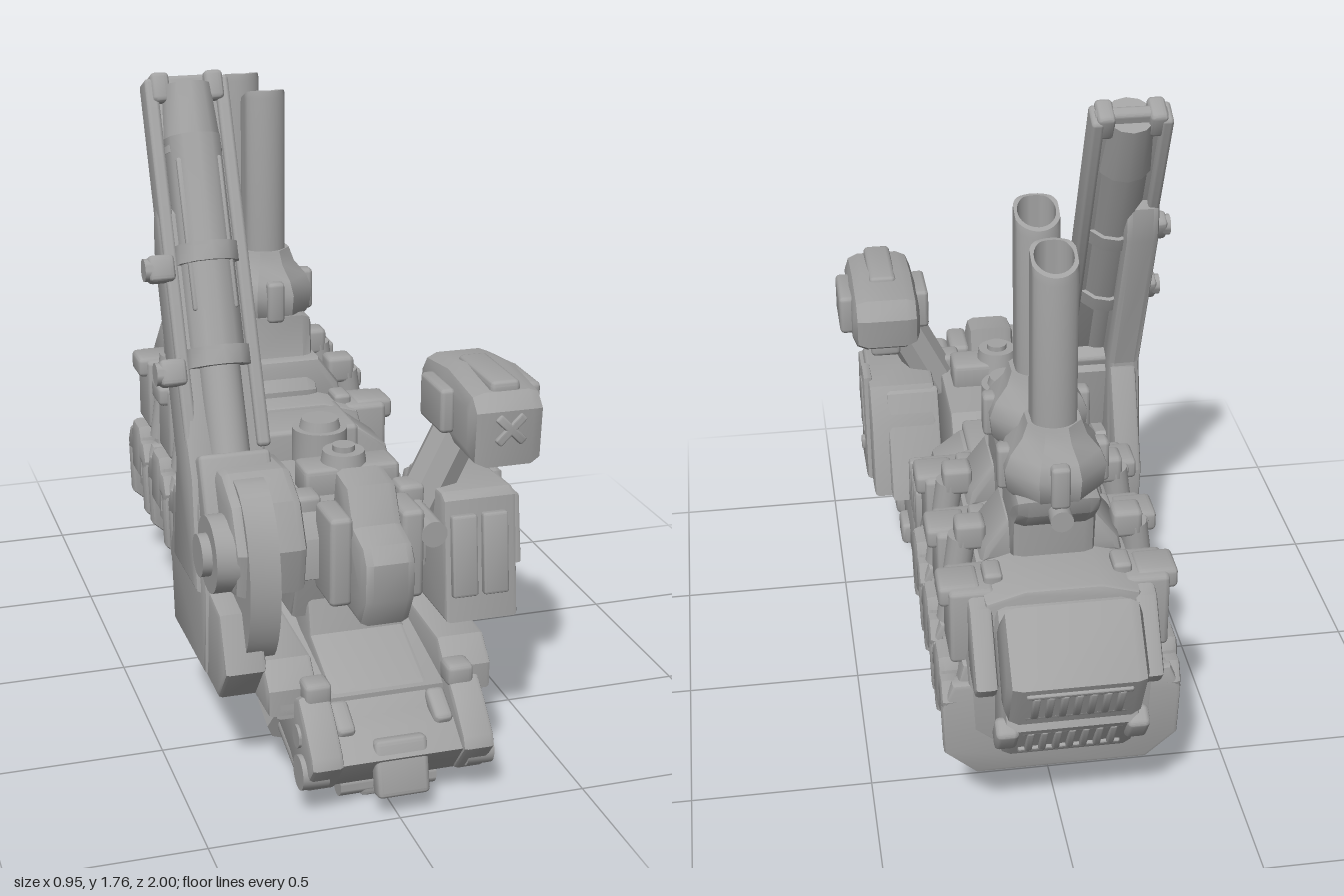
import * as THREE from 'three';
import { RoundedBoxGeometry } from 'three/addons/geometries/RoundedBoxGeometry.js';
import { toCreasedNormals } from 'three/addons/utils/BufferGeometryUtils.js';

const grey = new THREE.MeshStandardMaterial({ color: 0xa2a2a2, side: THREE.DoubleSide });

export function createModel() {
  const root = new THREE.Group();

  const put = (name, geo, parent = root) => {
    const m = new THREE.Mesh(toCreasedNormals(geo, 0.6), grey);
    m.name = name;
    parent.add(m);
    return m;
  };
  // Rounded box given by its centre and size.
  const box = (name, x, y, z, w, h, d, parent = root, rx = 0) => {
    const r = Math.min(0.014, w * 0.3, h * 0.3, d * 0.3);
    const m = put(name, new RoundedBoxGeometry(w, h, d, 2, r), parent);
    m.position.set(x, y, z);
    m.rotation.x = rx;
    return m;
  };
  const extrude = (pts, depth, b) => {
    const s = new THREE.Shape(pts.map(p => new THREE.Vector2(p[0], p[1])));
    const g = new THREE.ExtrudeGeometry(s, { depth: depth - 2 * b, bevelEnabled: true, bevelSize: b,
      bevelThickness: b, bevelOffset: -b, bevelSegments: 2 });
    return g.translate(0, 0, b - depth / 2);
  };
  // Side profile [z, y] extruded to a width along x.
  const side = (name, pts, x, w, b = 0.012) =>
    put(name, extrude(pts, w, b).rotateY(-Math.PI / 2).translate(x, 0, 0));
  // Half front profile [x, y], mirrored, extruded along z.
  const section = (name, half, z, d, b = 0.012) =>
    put(name, extrude([...half, ...half.map(p => [-p[0], p[1]]).reverse()], d, b).translate(0, 0, z));
  const lathe = (pts, n) => new THREE.LatheGeometry(pts.map(p => new THREE.Vector2(...p)), n);
  const cyl = (name, x, y, z, r1, r2, h, axis = 'y', parent = root, n = 24) => {
    const m = put(name, new THREE.CylinderGeometry(r1, r2, h, n), parent);
    m.position.set(x, y, z);
    if (axis === 'x') m.rotation.z = Math.PI / 2;
    if (axis === 'z') m.rotation.x = Math.PI / 2;
    return m;
  };
  const rod = (name, a, b, r, n = 16) => {
    const p = new THREE.Vector3(...a), q = new THREE.Vector3(...b);
    const m = put(name, new THREE.CylinderGeometry(r, r, p.distanceTo(q), n));
    m.position.copy(p).lerp(q, 0.5);
    m.quaternion.setFromUnitVectors(new THREE.Vector3(0, 1, 0), q.sub(p).normalize());
    return m;
  };

  // Nose and lower hull
  side('nose', [[0.38, 0.04], [0.84, 0.04], [0.92, 0.08], [0.99, 0.17], [0.92, 0.22], [0.74, 0.27], [0.3, 0.3], [0.33, 0.12]], 0.01, 0.36);
  for (const s of [-1, 1]) {
    const x = 0.01 + s * 0.2;
    side('noseRail', [[0.88, 0.07], [0.93, 0.08], [1.0, 0.17], [0.99, 0.2], [0.92, 0.27], [0.87, 0.31], [0.82, 0.29], [0.6, 0.29], [0.6, 0.18], [0.8, 0.12]], x, 0.085);
    cyl('noseBolt', x + s * 0.02, 0.21, 0.88, 0.03, 0.03, 0.06, 'x');
    cyl('noseKnuckle', x + s * 0.02, 0.13, 0.92, 0.045, 0.045, 0.07, 'x');
    box('hornTip', x - s * 0.01, 0.315, 0.85, 0.07, 0.06, 0.07);
    box('noseClip', x - s * 0.07, 0.235, 0.88, 0.05, 0.05, 0.1, root, 0.5);
    rod('sideRam', [s * 0.205, 0.165, 0.63], [s * 0.215, 0.2, 0.24], 0.042);
    rod('sideRamCollar', [s * 0.205, 0.14, 0.69], [s * 0.205, 0.17, 0.6], 0.055, 8);
    rod('sideRamPiston', [s * 0.2, 0.08, 0.86], [s * 0.205, 0.15, 0.66], 0.028);
    cyl('ramPivot', s * 0.22, 0.2, 0.23, 0.05, 0.05, 0.09, 'x');
    for (const z of [0.37, 0.55]) box('hullLatch', s * 0.29, 0.285, z, 0.07, 0.07, 0.1);
    for (let i = 0; i < 4; i++) box('hullRib', s * 0.235, 0.5, 0.115 + i * 0.058, 0.13, 0.15, 0.036);
    side('hullSill', [[0.1, 0.31], [0.22, 0.3], [0.28, 0.24], [0.84, 0.25], [0.84, 0.32], [0.78, 0.38], [0.5, 0.39], [0.35, 0.46], [0.1, 0.42]], s * 0.235, 0.13);
  }
  box('noseRoller', 0.01, 0.04, 0.84, 0.15, 0.07, 0.08);
  cyl('noseRollerPin', 0.01, 0.04, 0.85, 0.033, 0.033, 0.26, 'x');
  box('nosePlate', 0.01, 0.135, 0.965, 0.14, 0.15, 0.05, root, -0.25);
  cyl('undersideDisc', 0.01, 0.042, 0.62, 0.13, 0.13, 0.02, 'y', root, 32);
  side('hull', [[0.1, 0.23], [0.3, 0.23], [0.84, 0.24], [0.84, 0.28], [0.55, 0.34], [0.3, 0.44], [0.08, 0.42], [0.06, 0.3]], 0, 0.56);

  // Centre superstructure
  side('glacis', [[0.9, 0.2], [0.82, 0.29], [0.64, 0.36], [0.6, 0.52], [0.4, 0.58], [0.4, 0.22]], 0, 0.26);
  side('centreHousing', [[0.2, 0.4], [0.6, 0.4], [0.64, 0.52], [0.7, 0.55], [0.7, 0.66], [0.66, 0.72], [0.3, 0.72], [0.2, 0.6]], 0, 0.34);
  side('frontSnout', [[0.68, 0.48], [0.86, 0.48], [0.9, 0.56], [0.9, 0.66], [0.87, 0.7], [0.79, 0.72], [0.74, 0.81], [0.64, 0.82], [0.6, 0.6]], 0, 0.14, 0.025);
  for (const s of [-1, 1]) {
    box('snoutCheek', s * 0.095, 0.63, 0.73, 0.06, 0.24, 0.14);
    box('housingCorner', s * 0.14, 0.72, 0.62, 0.07, 0.08, 0.08);
  }
  box('topHatch', 0.01, 0.745, 0.51, 0.26, 0.09, 0.11);
  cyl('topHatchRing', 0, 0.79, 0.51, 0.055, 0.065, 0.06);
  cyl('topHatchCap', 0, 0.82, 0.51, 0.03, 0.03, 0.03);
  cyl('filterBase', 0, 0.75, 0.3, 0.075, 0.075, 0.12);
  cyl('filterCap', 0, 0.815, 0.3, 0.05, 0.06, 0.04);
  box('rearDeckBox', 0, 0.6, 0.08, 0.3, 0.32, 0.22);
  section('bulkhead', [[0.2, 0.22], [0.28, 0.32], [0.29, 0.46], [0.24, 0.68], [0.16, 0.74]], 0.09, 0.16);
  cyl('headLamp', 0.15, 0.68, 0.72, 0.035, 0.035, 0.16, 'z');

  // Cab
  side('cab', [[0.77, 0.41], [0.73, 0.735], [0.7, 0.75], [0.46, 0.74], [0.4, 0.64], [0.36, 0.41]], 0.3, 0.2);
  side('cabDoor', [[0.64, 0.41], [0.6, 0.75], [0.5, 0.75], [0.47, 0.41]], 0.4, 0.03);
  side('cabWindow', [[0.75, 0.55], [0.72, 0.73], [0.63, 0.73], [0.61, 0.62], [0.66, 0.55]], 0.4, 0.025, 0.006);
  side('doorWindow', [[0.595, 0.56], [0.58, 0.72], [0.53, 0.72], [0.51, 0.56]], 0.412, 0.014, 0.004);
  box('doorHandle', 0.415, 0.51, 0.53, 0.02, 0.04, 0.03);
  for (const x of [0.25, 0.335]) box('windscreen', x, 0.59, 0.755, 0.07, 0.22, 0.025, root, -0.12);
  side('cabRearFairing', [[0.46, 0.42], [0.46, 0.73], [0.44, 0.72], [0.33, 0.48], [0.31, 0.42]], 0.27, 0.16);

  // Side pod on its strut
  rod('podStrut', [0.17, 0.66, 0.6], [0.3, 0.92, 0.6], 0.065, 8);
  side('podBody', [[0.81, 0.85], [0.82, 1.0], [0.78, 1.04], [0.6, 1.06], [0.44, 1.04], [0.4, 0.99], [0.41, 0.9], [0.48, 0.86]], 0.34, 0.2, 0.04);
  box('podCheek', 0.45, 0.96, 0.6, 0.05, 0.12, 0.18);
  box('podInnerCheek', 0.225, 0.96, 0.6, 0.04, 0.12, 0.16);
  box('podRidge', 0.34, 1.04, 0.66, 0.08, 0.05, 0.24);
  box('podKeel', 0.34, 0.85, 0.6, 0.09, 0.06, 0.2);
  for (const a of [-1, 1]) box('podFaceBar', 0.34, 0.95, 0.815, 0.1, 0.024, 0.02).rotation.z = a * Math.PI / 4;

  // Raised boom with barrel, clamps and backing fin
  cyl('boomWheel', -0.3, 0.58, 0.66, 0.25, 0.25, 0.08, 'x', root, 32).scale.set(1, 1, 0.66);
  side('boomShoulder', [[0.45, 0.56], [0.62, 0.52], [0.78, 0.56], [0.8, 0.68], [0.74, 0.79], [0.64, 0.84], [0.5, 0.83], [0.42, 0.76]], -0.275, 0.19, 0.025);
  cyl('shoulderPin', -0.38, 0.65, 0.69, 0.1, 0.1, 0.07, 'x');
  cyl('shoulderCap', -0.42, 0.65, 0.69, 0.055, 0.055, 0.04, 'x');
  side('boomFin', [[0.34, 0.5], [0.39, 0.8], [0.18, 1.3], [0.18, 1.4], [0.21, 1.44], [0.26, 1.42], [0.46, 0.98], [0.56, 0.8], [0.6, 0.5]], -0.375, 0.1, 0.02);
  side('boomFinBase', [[0.28, 0.28], [0.25, 0.5], [0.38, 0.79], [0.56, 0.79], [0.64, 0.5], [0.62, 0.28]], -0.37, 0.08);
  side('boomFoot', [[0.3, 0.27], [0.28, 0.48], [0.4, 0.56], [0.74, 0.5], [0.8, 0.36], [0.72, 0.26]], -0.345, 0.11);
  const boom = new THREE.Group();
  boom.name = 'boom';
  boom.position.set(-0.31, 0.7, 0.56);
  boom.rotation.x = -0.43;
  root.add(boom);
  box('boomBase', 0, 0.05, 0, 0.19, 0.2, 0.16, boom);
  box('backPlate', 0, 0.64, -0.01, 0.2, 1.02, 0.04, boom);
  for (const s of [-1, 1]) {
    box('plateRail', s * 0.095, 0.65, -0.01, 0.035, 0.98, 0.08, boom);
    box('tipLug', s * 0.072, 1.115, -0.005, 0.05, 0.08, 0.085, boom);
    box('barrelStrip', s * 0.05, 0.72, 0.055, 0.02, 0.4, 0.02, boom);
  }
  cyl('boomPiston', 0, 0.27, 0.015, 0.055, 0.055, 0.4, 'y', boom);
  cyl('boomBarrel', 0, 0.7, 0.01, 0.076, 0.076, 0.56, 'y', boom, 12);
  cyl('boomCap', 0, 1.03, 0.0, 0.068, 0.08, 0.18, 'y', boom, 12);
  for (const y of [0.4, 0.67]) {
    cyl('boomClamp', 0, y, 0.01, 0.088, 0.088, 0.05, 'y', boom, 12);
    box('clampLug', -0.125, y - 0.03, 0.02, 0.07, 0.07, 0.06, boom);
    cyl('clampBolt', -0.15, y - 0.03, 0.02, 0.03, 0.03, 0.04, 'x', boom);
  }

  // Engine block with three clamping frames
  section('engineBlock', [[0.13, 0.25], [0.24, 0.34], [0.25, 0.55], [0.2, 0.74], [0.1, 0.77]], -0.35, 0.76);
  for (let i = 0; i < 3; i++) {
    const z = -0.055 - i * 0.277;
    section('frameRing', [[0.13, 0.2], [0.2, 0.2], [0.275, 0.3], [0.28, 0.46], [0.26, 0.54], [0.2, 0.55]], z, 0.2);
    section('keelBand', [[0.12, 0.185], [0.2, 0.185], [0.3, 0.31], [0.3, 0.35], [0.28, 0.42]], z, 0.1);
    for (const e of [-1, 1])
      section('frameLeg', [[0.13, 0.195], [0.23, 0.195], [0.315, 0.27], [0.32, 0.42], [0.29, 0.49]], z + e * 0.092, 0.055);
    for (const s of [-1, 1]) {
      side('frameArch', [[z + 0.11, 0.4], [z + 0.12, 0.44], [z + 0.09, 0.49], [z - 0.09, 0.49], [z - 0.12, 0.44], [z - 0.11, 0.4], [z - 0.05, 0.42], [z + 0.05, 0.42]], s * 0.295, 0.05);
      side('frameKnuckle', [[z + 0.06, 0.36], [z + 0.06, 0.5], [z + 0.04, 0.53], [z - 0.04, 0.53], [z - 0.06, 0.5], [z - 0.06, 0.36]], s * 0.285, 0.075, 0.018);
      box('headCover', s * 0.23, 0.64, z, 0.12, 0.22, 0.15);
      box('headCap', s * 0.26, 0.725, z, 0.11, 0.06, 0.11);
      box('headLatch', s * 0.17, 0.755, z, 0.05, 0.04, 0.08);
      if (i < 2) {
        rod('linkPipe', [s * 0.23, 0.79, z - 0.138], [s * 0.265, 0.53, z - 0.138], 0.038);
        box('linkCap', s * 0.21, 0.8, z - 0.138, 0.08, 0.08, 0.075);
      }
    }
  }

  // Exhaust stacks
  for (const z of [-0.26, -0.535]) {
    side('stackNeck', [[z + 0.2, 0.74], [z + 0.2, 0.785], [z + 0.14, 0.86], [z + 0.13, 0.99], [z - 0.12, 0.99], [z - 0.11, 0.94],
      [z - 0.04, 0.87], [z - 0.03, 0.74]], 0, 0.23, 0.035);
    section('neckFlare', [[0.19, 0.74], [0.18, 0.79], [0.12, 0.87]], z + 0.085, 0.18, 0.02);
    const collar = put('stackCollar', lathe([[0.1, 0.95], [0.135, 0.99], [0.142, 1.05], [0.125, 1.09], [0.09, 1.13], [0.075, 1.17], [0.06, 1.17]], 8));
    collar.position.z = z;
    collar.rotation.y = Math.PI / 8;
    for (let k = 0; k < 4; k++) {
      const a = k * Math.PI / 2;
      box('collarClamp', Math.sin(a) * 0.125, 1.035, z + Math.cos(a) * 0.125, 0.05, 0.12, 0.04).rotation.y = a;
    }
    // Pipe with slanted open mouth, pressed to a rounded square
    const pipe = lathe([[0.066, 1.1], [0.066, 1.6], [0.062, 1.62], [0.05, 1.62], [0.05, 1.3], [0, 1.3]], 32);
    const p = pipe.attributes.position;
    for (let v = 0; v < p.count; v++) {
      const y = p.getY(v), pz = p.getZ(v);
      if (y > 1.5) p.setY(v, y - 0.005 + Math.min(pz, 0.04) * 0.5);
      p.setX(v, THREE.MathUtils.clamp(p.getX(v), -0.058, 0.058));
    }
    put('stackPipe', pipe).position.z = z;
    rod('stackDrain', [0, 0.95, z - 0.1], [0, 0.95, z - 0.16], 0.03);
  }

  // Rear intake hood with grilles
  side('rearBody', [[-0.68, 0.22], [-0.74, 0.3], [-0.8, 0.31], [-0.9, 0.46], [-0.84, 0.6], [-0.74, 0.73], [-0.68, 0.74]], 0, 0.36, 0.03);
  side('rearHood', [[-0.73, 0.69], [-0.85, 0.81], [-0.995, 0.66], [-0.92, 0.5], [-0.84, 0.5]], 0, 0.36, 0.035);
  for (const s of [-1, 1]) {
    side('rearBracket', [[-0.69, 0.56], [-0.69, 0.74], [-0.73, 0.73], [-0.85, 0.56], [-0.82, 0.52], [-0.74, 0.53]], s * 0.215, 0.06);
    box('rearClip', s * 0.17, 0.43, -0.86, 0.06, 0.1, 0.06, root, -0.58);
  }
  for (const [y, z, h] of [[0.585, -0.945, 0.12], [0.4, -0.845, 0.11]]) {
    const grille = new THREE.Group();
    grille.name = 'rearGrille';
    grille.position.set(0, y, z);
    grille.rotation.x = -0.5;
    root.add(grille);
    for (let k = -3; k <= 3; k++) box('grilleSlat', k * 0.036, 0, 0, 0.02, h, 0.04, grille);
    for (const s of [-1, 1]) box('grilleFrame', 0, s * h * 0.5, 0, 0.27, 0.018, 0.035, grille);
  }
  return root;
}
